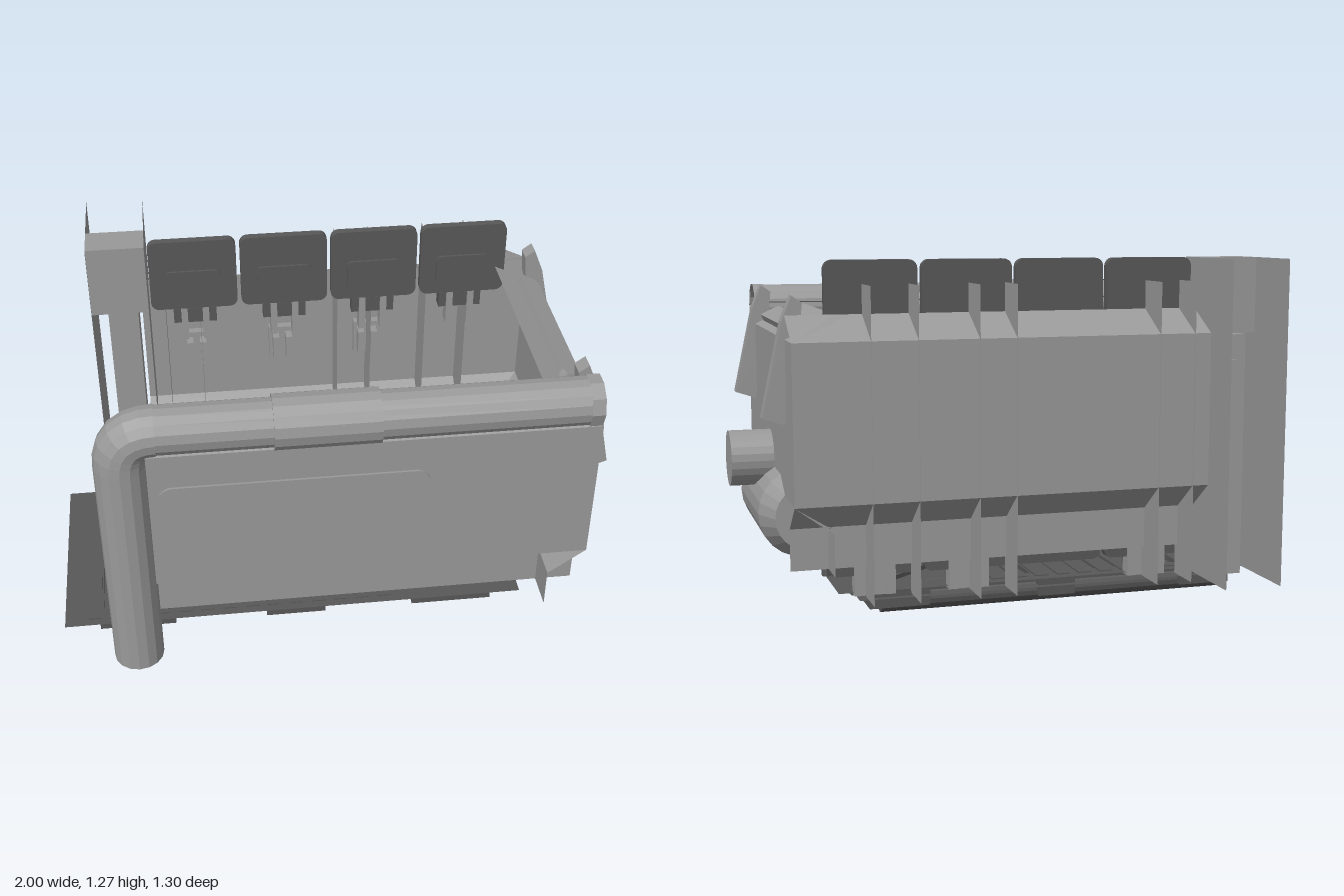
import * as THREE from 'three';

const make = (color, side) => new THREE.MeshStandardMaterial({ color, flatShading: true, side });
const grey = make(0x999999, THREE.FrontSide);
const greyThin = make(0x999999, THREE.DoubleSide);
const dark = make(0x585858, THREE.FrontSide);
const darkThin = make(0x585858, THREE.DoubleSide);

export function createModel() {
  const model = new THREE.Group();
  const add = (name, geo, mat = grey) => {
    const m = new THREE.Mesh(geo, mat);
    m.name = name;
    model.add(m);
    return m;
  };
  // box given by its limits
  const box = (name, x0, x1, y0, y1, z0, z1, mat) =>
    add(name, new THREE.BoxGeometry(x1 - x0, y1 - y0, z1 - z0)
      .translate((x0 + x1) / 2, (y0 + y1) / 2, (z0 + z1) / 2), mat);
  const cylX = (name, x0, x1, y, z, r, n = 16, mat = grey, open = false) =>
    add(name, new THREE.CylinderGeometry(r, r, x1 - x0, n, 1, open).rotateZ(Math.PI / 2)
      .translate((x0 + x1) / 2, y, z), mat);
  const sheet = (name, x, y0, y1, z0, z1) =>
    add(name, new THREE.PlaneGeometry(z1 - z0, y1 - y0).rotateY(Math.PI / 2)
      .translate(x, (y0 + y1) / 2, (z0 + z1) / 2), greyThin);
  const poly = (Type, pts) => new Type(pts.map(([x, y]) => new THREE.Vector2(x, y)));
  const roundRect = (w, h, r) => {
    const s = new THREE.Shape(), a = w / 2, b = h / 2;
    s.absarc(a - r, b - r, r, 0, Math.PI / 2);
    s.absarc(r - a, b - r, r, Math.PI / 2, Math.PI);
    s.absarc(r - a, r - b, r, Math.PI, Math.PI * 1.5);
    s.absarc(a - r, r - b, r, Math.PI * 1.5, Math.PI * 2);
    return s;
  };
  const extrude = (shape, depth) => new THREE.ExtrudeGeometry(shape, { depth, bevelEnabled: false, curveSegments: 4 });

  // Walls: a folded sheet profile swept straight from one end to the other
  const wall = (name, [skirt, outer, rim], from, to, place) => {
    const profile = [[skirt, 0.24], [skirt, 0.385], [outer, 0.48], [outer, 1.02], [rim, 1.1]];
    const pos = [];
    for (let i = 0; i < profile.length - 1; i++) {
      const [a, b] = [from, to].map(t => place(t, ...profile[i]));
      const [d, c] = [from, to].map(t => place(t, ...profile[i + 1]));
      for (const p of [a, b, c, a, c, d]) pos.push(...p);
    }
    const geo = new THREE.BufferGeometry();
    geo.setAttribute('position', new THREE.Float32BufferAttribute(pos, 3));
    geo.computeVertexNormals();
    add(name, geo, greyThin);
  };
  const alongX = (t, d, y) => [t, y, d], alongZ = (t, d, y) => [d, y, t];
  wall('frontWall', [0.5, 0.63, 0.47], -0.65, 0.85, alongX);
  wall('endWall', [0.72, 0.85, 0.68], 0.63, -0.485, alongZ);
  wall('backWall', [-0.36, -0.485, -0.34], 0.85, -0.65, alongX);

  // Front inset panel with louvres on its inner side
  add('frontPanel', extrude(roundRect(0.9, 0.38, 0.05), 0.01).translate(-0.17, 0.705, 0.628));
  box('louvreBacking', -0.63, 0.28, 0.5, 0.95, 0.615, 0.627);
  for (let i = 0; i < 11; i++) {
    const y = 0.525 + i * 0.04;
    box('louvre', -0.62, 0.27, y - 0.012, y + 0.012, 0.595, 0.62);
  }

  // Bent hollow pipe along the front with sleeve, collar and valve
  const R = 0.088, px = -0.735, py = 1.078, pz = 0.56, bend = 0.12;
  const v = (x, y) => new THREE.Vector3(x, y, pz);
  add('pipeUpright', new THREE.CylinderGeometry(R, R, py - bend - 0.095, 16).translate(px, (py - bend + 0.095) / 2, pz));
  const elbow = new THREE.QuadraticBezierCurve3(v(px, py - bend), v(px, py), v(px + bend, py));
  add('pipeElbow', new THREE.TubeGeometry(elbow, 6, R, 16), greyThin);
  cylX('pipeRail', px + bend, 0.84, py, pz, R - 0.004, 16, greyThin, true);
  cylX('railSleeve', -0.235, 0.115, py, pz, 0.094);
  cylX('railCollar', 0.8, 0.845, py, pz, 0.09, 10, greyThin, true);
  add('valve', new THREE.CylinderGeometry(0.055, 0.055, 0.05, 14).rotateX(Math.PI / 2).translate(px, 0.67, 0.48));
  add('valveRing', new THREE.TorusGeometry(0.042, 0.012, 6, 14).translate(px, 0.67, 0.456));

  // End wall: slanted braces, top bar, tank and exhaust
  const brace = poly(THREE.Shape, [[0.79, 1.14], [0.825, 1.165], [0.86, 1.08], [0.93, 0.76], [0.855, 0.735], [0.81, 0.95]]);
  for (const z of [0.43, -0.34]) add('brace', extrude(brace, 0.058).translate(0, 0, z));
  const bar = add('topBar', extrude(roundRect(0.075, 0.65, 0.025), 0.025).rotateX(-Math.PI / 2));
  bar.position.set(0.79, 1.05, 0.075);
  bar.rotation.z = -0.44;
  const tank = [[0, -0.35], [0.115, -0.35], [0.16, -0.25], [0.16, 0.25], [0.115, 0.35], [0, 0.35]];
  add('tank', new THREE.LatheGeometry(tank.map(([r, y]) => new THREE.Vector2(r, y)), 24)
    .rotateX(Math.PI / 2).translate(0.77, 0.403, 0.08), greyThin);
  cylX('exhaust', 0.57, 1, 0.565, 0.075, 0.1, 24);
  for (const z of [0.283, -0.11]) {
    const foot = add('tankFoot', new THREE.BoxGeometry(0.08, 0.11, 0.058));
    foot.position.set(0.705, 0.24, z);
    foot.rotation.z = 0.25;
  }
  const hose = new THREE.CatmullRomCurve3([[0.72, 0.205, -0.308], [0.72, 0.36, -0.308], [0.72, 0.395, -0.36]]
    .map(p => new THREE.Vector3(...p)));
  add('hose', new THREE.TubeGeometry(hose, 8, 0.016, 8), darkThin);

  // Back row of rounded panels, upper and lower, with clips, wall brackets and legs
  for (let i = 0; i < 4; i++) {
    const x = -0.45 + i * 0.335;
    for (const y of [1.14, 0.34]) {
      add('backPanel', extrude(roundRect(0.32, 0.28, 0.03), 0.03).translate(x, y, -0.325), dark);
      add('backPanelInset', extrude(roundRect(0.2, 0.12, 0.02), 0.01).translate(x, y - 0.04, -0.296), dark);
    }
    for (const s of [-0.04, 0.04]) box('clipArm', x + s - 0.012, x + s + 0.012, 0.86, 1.08, -0.355, -0.3);
    box('clip', x - 0.08, x + 0.08, 0.93, 0.99, -0.355, -0.31, dark);
    if (i < 3) {
      box('wallBracket', x - 0.05, x + 0.05, 0.65, 0.79, -0.485, -0.455);
      for (const s of [-0.025, 0.025]) box('bracketRib', x + s - 0.012, x + s + 0.012, 0.67, 0.77, -0.46, -0.41);
    }
    if (i !== 1) {
      box('leg', x - 0.04, x + 0.04, 0.13, 0.24, -0.33, -0.3);
      for (const s of [-0.055, 0.055]) box('legSide', x + s - 0.017, x + s + 0.017, 0.13, 0.24, -0.335, -0.287);
    }
  }

  // Thin fins behind the back wall, and the tall end column between two sheets
  for (const x of [0.59, 0.43, 0.22, 0.09, -0.43, -0.56]) sheet('fin', x, 0.13, 1.2, -0.49, -0.34);
  for (const x of [-0.83, -0.62]) sheet('tallSheet', x, 0.135, 1.28, -0.65, -0.26);
  box('columnHead', -0.83, -0.62, 1.01, 1.28, -0.4, -0.27);
  box('column', -0.77, -0.66, 0.14, 1.01, -0.45, -0.285);
  add('columnPanel', extrude(roundRect(0.09, 0.4, 0.03), 0.015).translate(-0.715, 0.72, -0.46));

  // Floor: frame with triangular openings (shape y is -z), thin rim, pan and slats
  const floor = poly(THREE.Shape, [[-0.93, -0.43], [0.63, -0.43], [0.63, 0.29], [-0.93, 0.29]]);
  const holes = [
    [[-0.78, 0.22], [-0.26, 0.22], [-0.26, -0.27]],
    [[-0.86, 0.14], [-0.86, -0.36], [-0.33, -0.36]],
    [[-0.04, 0.22], [0.55, 0.22], [-0.04, -0.31]],
    [[0.57, -0.1], [0.57, -0.37], [0.28, -0.37]],
  ];
  for (const h of holes) floor.holes.push(poly(THREE.Path, h));
  add('floorFrame', extrude(floor, 0.016).rotateX(-Math.PI / 2).translate(0, 0.122, 0), dark);
  const rim = poly(THREE.Shape, [[-1, -0.45], [0.68, -0.45], [0.68, 0.32], [-1, 0.32]]);
  rim.holes.push(poly(THREE.Path, [[-0.92, -0.42], [-0.92, 0.28], [0.62, 0.28], [0.62, -0.42]]));
  add('floorRim', new THREE.ShapeGeometry(rim).rotateX(-Math.PI / 2).translate(0, 0.139, 0), darkThin);
  add('floorPan', new THREE.PlaneGeometry(1.47, 0.61).rotateX(-Math.PI / 2).translate(-0.145, 0.085, 0.07), darkThin);
  for (let i = 0; i < 14; i++) {
    const x = -0.89 + i * 0.082;
    box('floorSlat', x - 0.024, x + 0.024, 0.134, 0.143, -0.28, 0.42, dark);
  }

  // Underfloor beams and pipes
  for (const z of [0.357, -0.195]) box('floorBeam', -0.88, 0.59, 0.1, 0.122, z - 0.015, z + 0.015, dark);
  for (const [x0, x1] of [[-0.88, -0.6], [-0.26, -0.04], [0.29, 0.59]]) {
    box('crossBeam', x0, x1, 0.042, 0.122, 0.108, 0.373, dark);
    box('crossBeam', x0 + 0.04, x1 - 0.04, 0.045, 0.122, -0.21, 0.108, dark);
  }
  cylX('floorPipe', -0.84, 0.5, 0.055, -0.06, 0.05, 16, dark);
  cylX('floorPipe', -0.84, 0.5, 0.06, -0.14, 0.046, 16, dark);
  cylX('floorPipe', -0.88, 0.6, 0.075, 0.23, 0.04, 16, dark);
  cylX('floorPipe', -0.88, 0.6, 0.087, 0.29, 0.018, 10, dark);

  return model;
}
